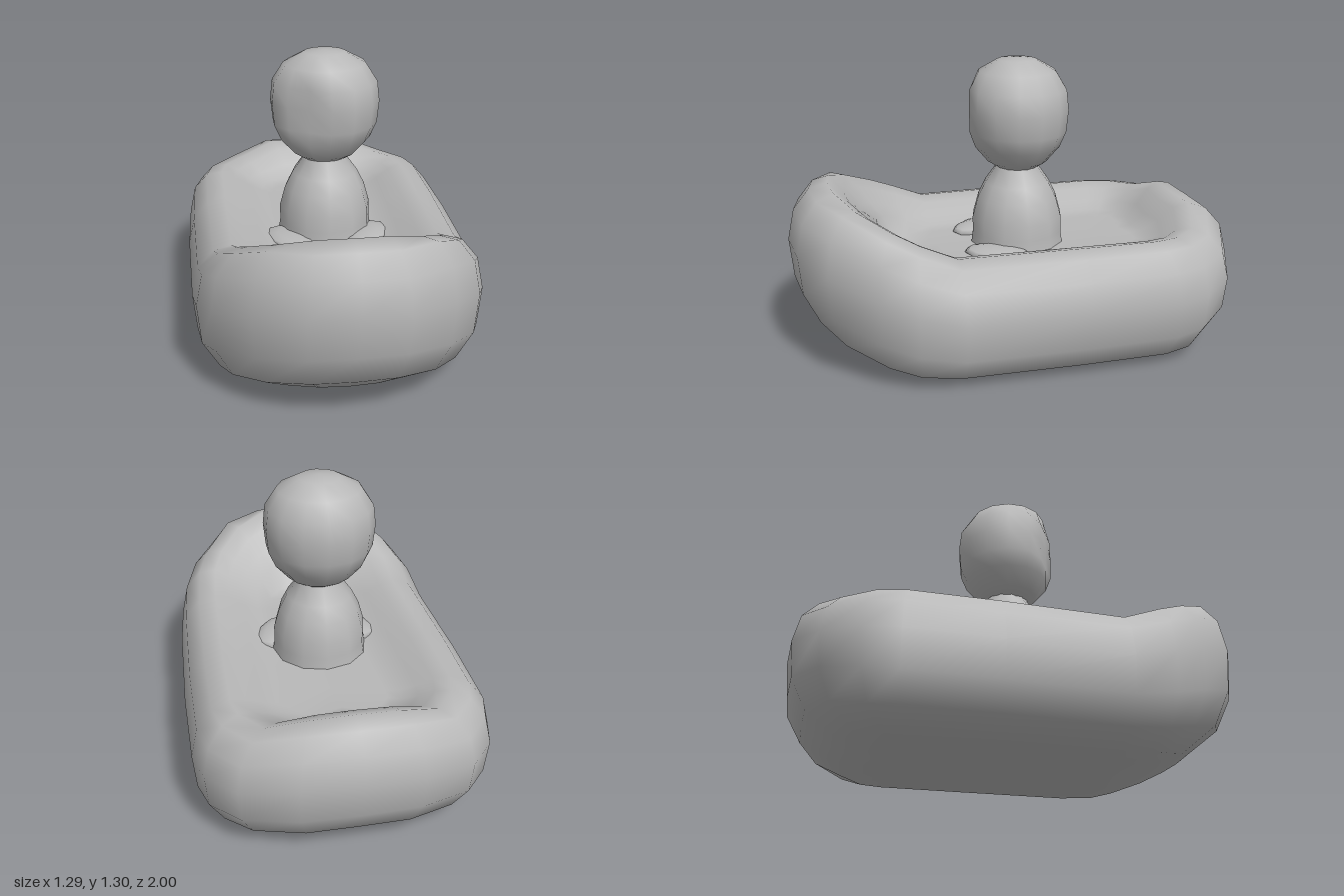
import * as THREE from 'three';
import { mergeVertices } from 'three/addons/utils/BufferGeometryUtils.js';

const grey = new THREE.MeshStandardMaterial({ color: 0xb8b8b8 });
grey.name = 'matte grey';

function part(name, geometry) {
  const mesh = new THREE.Mesh(geometry, grey);
  mesh.name = name;
  return mesh;
}

// Weld shared points and smooth the normals
function smooth(geometry) {
  geometry.deleteAttribute('uv');
  geometry.deleteAttribute('normal');
  const merged = mergeVertices(geometry);
  merged.computeVertexNormals();
  return merged;
}

// Inflated hull: one closed surface from keel, over the tube, down to the floor
function hullGeometry() {
  const half = [[0, 1], [0.2, 0.97], [0.4, 0.86], [0.55, 0.67], [0.61, 0.52], [0.63, 0.33],
    [0.645, -0.2], [0.64, -0.6], [0.6, -0.74], [0.48, -0.89], [0.25, -0.99], [0, -1]];
  const outline = [...half, ...half.slice(1, -1).reverse().map(([x, z]) => [-x, z])];
  // [inset from outline, height amidships]
  const section = [[9, 0], [0.4, 0], [0.24, 0], [0.085, 0.05], [0.015, 0.16], [0, 0.32], [0.03, 0.45],
    [0.1, 0.53], [0.18, 0.55], [0.25, 0.53], [0.32, 0.49], [0.39, 0.46], [0.45, 0.45], [9, 0.45]];
  const positions = [], index = [], n = outline.length;
  section.forEach(([inset, h], j) => {
    outline.forEach(([x, z], i) => {
      // move toward the centre spine
      const spineZ = THREE.MathUtils.clamp(z, -0.4, 0.4);
      const k = Math.min(1, inset / Math.hypot(x, z - spineZ));
      const px = x * (1 - k), pz = z + (spineZ - z) * k;
      // the bow sweeps up, the stern is slightly raised in the middle
      const bottom = 0.45 * Math.max(0, pz - 0.4) ** 1.6 + 0.3 * Math.max(0, -pz - 0.68);
      const bow = 0.235 * THREE.MathUtils.clamp((pz - 0.34) / 0.46, 0, 1);
      const stern = Math.abs(x) < 0.3 ? 0.06 * THREE.MathUtils.clamp((-pz - 0.62) / 0.15, 0, 1) : 0;
      const top = 0.55 + bow * (1 - 0.25 * Math.abs(px)) + stern;
      const py = j > 11 ? h : bottom + (h / 0.55) * (top - bottom);
      positions.push(px, py, pz);
      if (j < section.length - 1) {
        const a = j * n + i, b = j * n + (i + 1) % n;
        index.push(a, b, b + n, a, b + n, a + n);
      }
    });
  });
  const geometry = new THREE.BufferGeometry();
  geometry.setAttribute('position', new THREE.Float32BufferAttribute(positions, 3));
  geometry.setIndex(index);
  return smooth(geometry);
}

function lathe(points, sides) {
  return smooth(new THREE.LatheGeometry(points.map(([r, y]) => new THREE.Vector2(r, y)), sides));
}

// Round head, slightly flattened along a slanted plane on its front right
function headGeometry() {
  const geometry = lathe([[0.09, 0.8], [0.14, 0.83], [0.2, 0.9], [0.23, 0.97], [0.24, 1.07], [0.23, 1.16],
    [0.18, 1.24], [0.09, 1.29], [0, 1.3]], 14);
  geometry.scale(1.03, 1, 0.97);
  const plane = new THREE.Plane(new THREE.Vector3(-0.49, 0, 0.87).normalize(), -0.19);
  const position = geometry.attributes.position;
  const p = new THREE.Vector3();
  for (let i = 0; i < position.count; i++) {
    p.fromBufferAttribute(position, i);
    if (plane.distanceToPoint(p) > 0) {
      plane.projectPoint(p, p);
      position.setXYZ(i, p.x, p.y, p.z);
    }
  }
  geometry.computeVertexNormals();
  return geometry;
}

export function createModel() {
  const model = new THREE.Group();
  model.name = 'raftWithFigure';

  const figure = new THREE.Group();
  figure.name = 'figure';
  figure.position.z = -0.04;
  figure.add(
    part('torso', lathe([[0.22, 0.43], [0.21, 0.5], [0.21, 0.57], [0.185, 0.66], [0.15, 0.73],
      [0.1, 0.8], [0.1, 0.84]], 12)),
    part('head', headGeometry()),
  );

  // Low folded legs either side of the torso
  for (const side of [1, -1]) {
    const leg = part(side > 0 ? 'leftLeg' : 'rightLeg', new THREE.SphereGeometry(1, 10, 6));
    leg.scale.set(0.09, 0.03, 0.15);
    leg.position.set(side * 0.18, 0.455, 0.14);
    leg.rotation.y = -side * 0.5;
    figure.add(leg);
  }
  model.add(part('hull', hullGeometry()), figure);
  return model;
}
